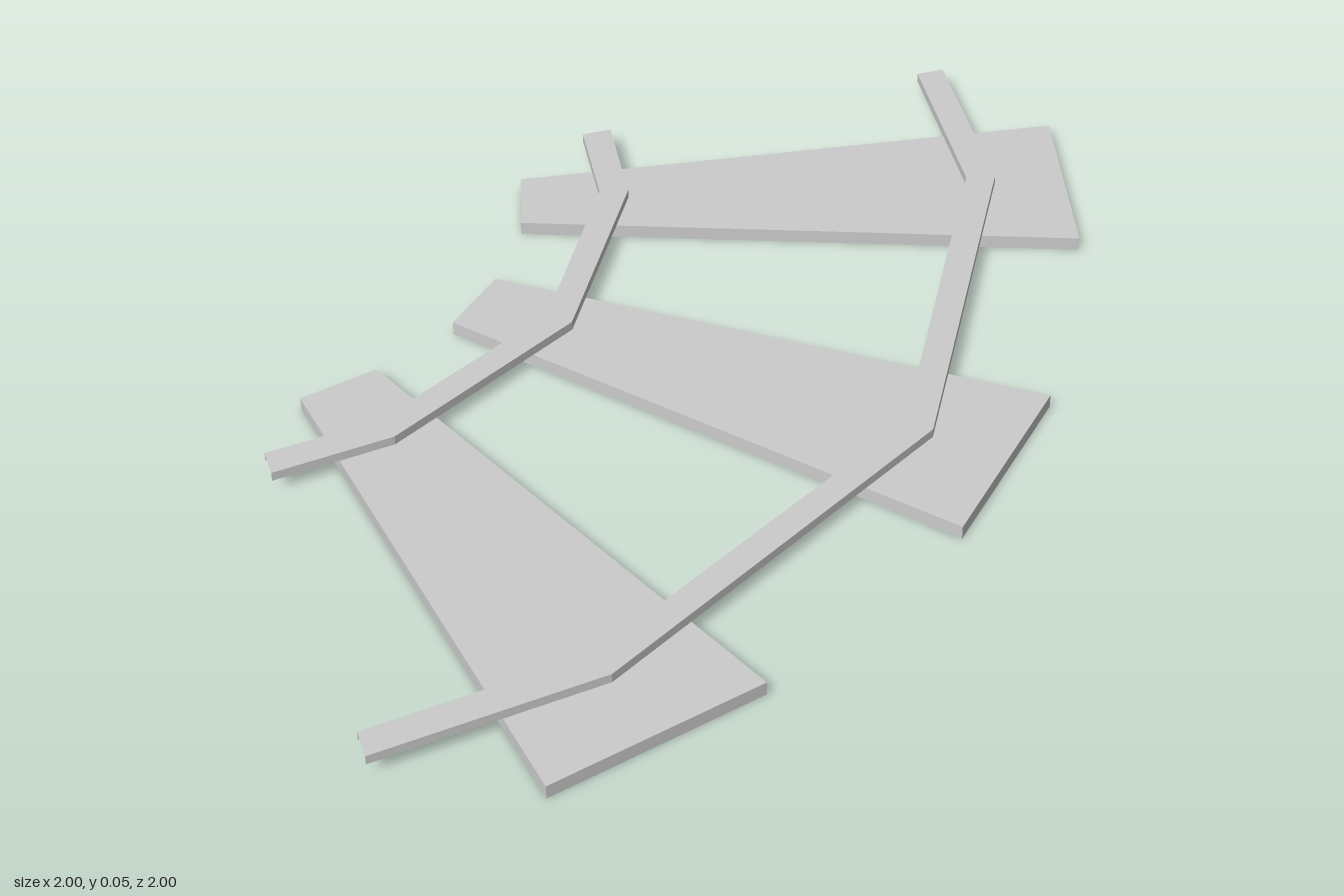
import * as THREE from 'three';

const TIE_TOP = 0.03, RAIL_TOP = 0.05;
const material = new THREE.MeshStandardMaterial({ color: 0xcccccc, flatShading: true, side: THREE.DoubleSide });

// The curve is symmetric about the diagonal: swapping x and z mirrors a point.
const swap = ([x, z]) => [z, x];
const mirror = (pts) => pts.map(swap).reverse();

// Thin shell open underneath: top strip between two edges, plus side walls and optional end walls.
function shell(name, left, right, y0, y1, closedEnds) {
  const pos = [];
  const quad = (a, b, c, d) => [a, b, c, a, c, d].forEach((p) => pos.push(...p));
  const at = ([x, z], y) => [x, y, z];
  const wall = (a, b) => quad(at(a, y0), at(b, y0), at(b, y1), at(a, y1));
  const last = left.length - 1;
  for (let i = 0; i < last; i++) {
    quad(at(left[i], y1), at(left[i + 1], y1), at(right[i + 1], y1), at(right[i], y1));
    wall(left[i], left[i + 1]);
    wall(right[i + 1], right[i]);
  }
  if (closedEnds) {
    wall(right[0], left[0]);
    wall(left[last], right[last]);
  }
  const geo = new THREE.BufferGeometry();
  geo.setAttribute('position', new THREE.Float32BufferAttribute(pos, 3));
  geo.computeVertexNormals();
  const mesh = new THREE.Mesh(geo, material);
  mesh.name = name;
  return mesh;
}

// Tie from four corners, counter-clockwise seen from above.
const tie = (name, [a, b, c, d]) => shell(name, [a, b], [d, c], 0, TIE_TOP, true);

// Rail edges are given up to the middle bend, then mirrored.
const fullEdge = (half) => [...half, ...mirror(half.slice(0, -1))];
const rail = (name, left, right) =>
  shell(name, fullEdge(left), fullEdge(right), TIE_TOP, RAIL_TOP, false);

export function createModel() {
  const group = new THREE.Group();
  group.name = 'curvedTrack';

  // Wedge-shaped ties
  const endTie = [[-0.243, -0.892], [-0.29, -0.72], [0.872, -0.258], [0.997, -0.713]];
  group.add(tie('backTie', endTie));
  group.add(tie('middleTie', [[-0.4, -0.528], [-0.528, -0.4], [0.248, 0.58], [0.58, 0.248]]));
  group.add(tie('frontTie', mirror(endTie)));

  // Channel-section rails
  group.add(rail('innerRail',
    [[-0.063, -1], [-0.094, -0.758], [-0.336, -0.336]],
    [[0.004, -1], [-0.031, -0.741], [-0.293, -0.293]]));
  group.add(rail('outerRail',
    [[0.777, -1], [0.715, -0.541], [0.255, 0.255]],
    [[0.842, -1], [0.78, -0.526], [0.298, 0.298]]));

  return group;
}
